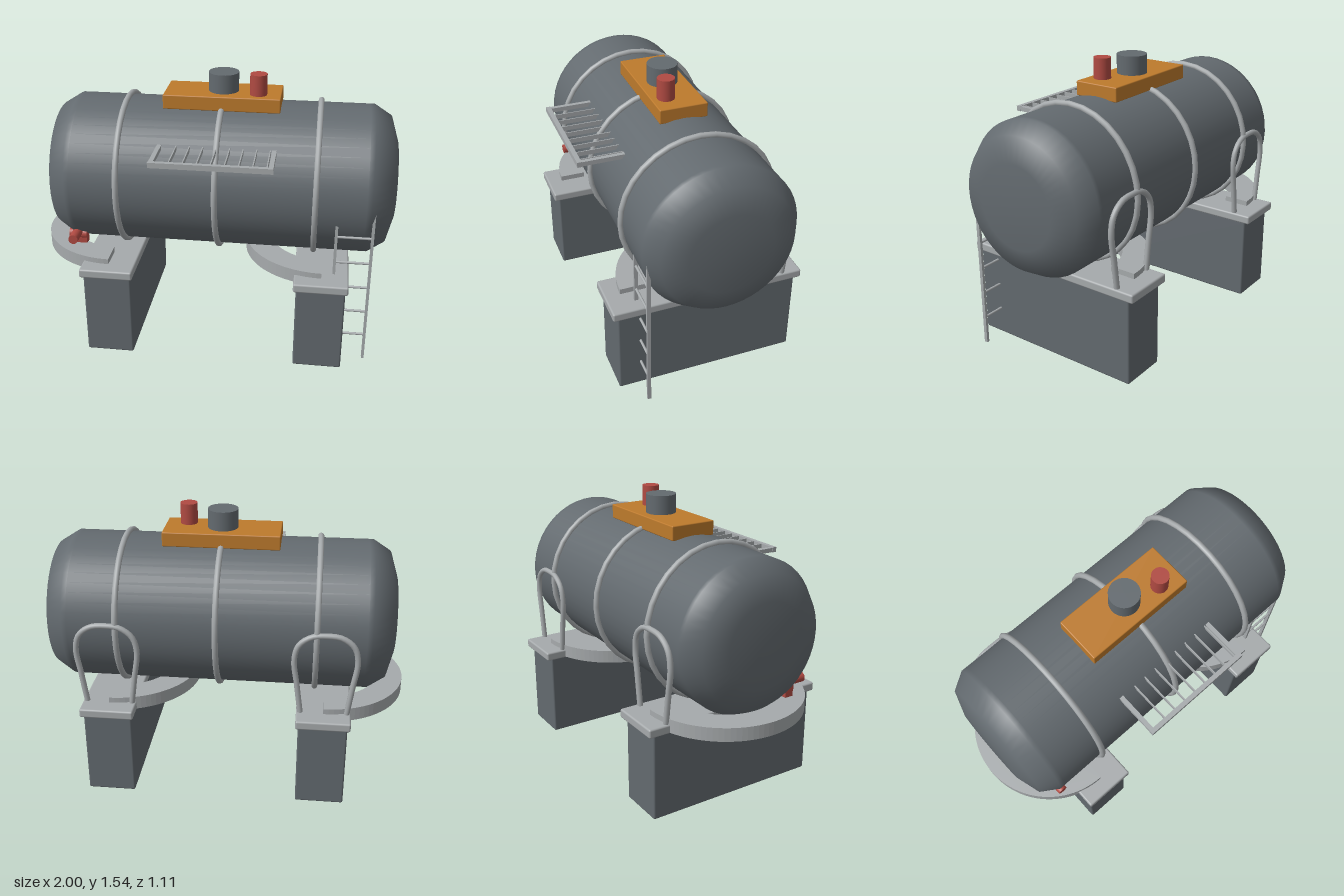
import * as THREE from 'three';
import { RoundedBoxGeometry } from 'three/addons/geometries/RoundedBoxGeometry.js';

const mat = (name, color) => {
  const m = new THREE.MeshStandardMaterial({ color });
  m.name = name;
  return m;
};

export function createModel() {
  const model = new THREE.Group();
  model.name = 'storageTank';
  const dark = mat('slateGrey', 0x636a6f);
  const light = mat('lightGrey', 0xa6aaac);
  const orange = mat('orange', 0xbd7a2c);
  const red = mat('red', 0xb04a42);
  const CX = 0.0375, CY = 0.945, CZ = -0.02;

  const add = (name, geometry, material, x = 0, y = 0, z = 0, parent = model) => {
    const mesh = new THREE.Mesh(geometry, material);
    mesh.name = name;
    mesh.position.set(x, y, z);
    parent.add(mesh);
    return mesh;
  };
  // Box given by its minimum and maximum corners, optionally with rounded edges
  const box = (name, material, x0, x1, y0, y1, z0, z1, r = 0, parent = model) => {
    const s = [x1 - x0, y1 - y0, z1 - z0];
    const g = r ? new RoundedBoxGeometry(...s, 2, r) : new THREE.BoxGeometry(...s);
    return add(name, g, material, (x0 + x1) / 2, (y0 + y1) / 2, (z0 + z1) / 2, parent);
  };
  const cylinder = (name, material, r, h, x, y, z, parent = model) =>
    add(name, new THREE.CylinderGeometry(r, r, h, 32), material, x, y, z, parent);

  // Tank shell, turned about its long axis
  const half = [[0, 0.9625], [0.225, 0.9625], [0.355, 0.922], [0.415, 0.827], [0.415, 0.8]];
  const profile = [
    ...half.map(([r, a]) => new THREE.Vector2(r, -a)),
    ...half.slice().reverse().map(([r, a]) => new THREE.Vector2(r, a)),
  ];
  const shell = add('tankShell', new THREE.LatheGeometry(profile, 48), dark, CX, CY, CZ);
  shell.rotation.z = -Math.PI / 2;

  // Bands around the shell
  for (const x of [-0.5, 0.035, 0.57]) {
    const band = add('tankBand', new THREE.TorusGeometry(0.424, 0.0165, 10, 32), light, x, CY, CZ);
    band.rotation.y = Math.PI / 2;
  }

  // Top hatch block with its two stacks
  box('hatchBlock', orange, -0.285, 0.355, 1.345, 1.425, -0.152, 0.112, 0.006);
  cylinder('ventStack', dark, 0.083, 0.11, 0.035, 1.475, -0.02);
  cylinder('reliefValve', red, 0.047, 0.12, 0.23, 1.48, 0.033);

  // Half-ring collar, open toward +x
  const collarShape = new THREE.Shape();
  collarShape.absarc(0, 0, 0.447, Math.PI / 2, Math.PI * 1.5, false);
  collarShape.absarc(0, 0, 0.3, Math.PI * 1.5, Math.PI / 2, true);
  collarShape.closePath();
  const collarGeo = new THREE.ExtrudeGeometry(collarShape, { depth: 0.075, bevelEnabled: false, curveSegments: 24 });
  collarGeo.rotateX(-Math.PI / 2);

  // Arched rail standing on the back of each pier
  const rise = [[0.125, 0.53], [0.148, 0.7], [0.167, 0.85], [0.145, 0.935], [0.08, 0.985]];
  const archPoints = [
    ...rise.map(([x, y]) => new THREE.Vector3(-x, y, 0)),
    new THREE.Vector3(0, 0.995, 0),
    ...rise.slice().reverse().map(([x, y]) => new THREE.Vector3(x, y, 0)),
  ];
  const archGeo = new THREE.TubeGeometry(new THREE.CatmullRomCurve3(archPoints), 48, 0.0155, 10);

  // Supports
  for (const x of [-0.553, 0.623]) {
    const support = new THREE.Group();
    support.name = 'support';
    support.position.x = x;
    model.add(support);
    box('pier', dark, -0.133, 0.133, 0, 0.49, -0.522, 0.49, 0.01, support);
    box('pierCap', light, -0.148, 0.147, 0.485, 0.535, -0.555, 0.518, 0.01, support);
    add('collar', collarGeo, light, 0, 0.49, -0.013, support);
    add('archRail', archGeo, light, 0, 0, -0.445, support);
  }

  // Outlet valve on the end collar
  const valve = new THREE.Group();
  valve.name = 'outletValve';
  valve.position.set(-0.77, 0, 0.235);
  model.add(valve);
  box('valveFoot', red, -0.05, 0.05, 0.56, 0.61, -0.025, 0.025, 0, valve);
  cylinder('valveBody', red, 0.03, 0.1, 0, 0.615, 0, valve).rotation.z = Math.PI / 2;
  cylinder('valvePipe', red, 0.027, 0.16, 0, 0.634, 0.045, valve).rotation.x = Math.PI / 2;

  // Slatted platform on the front
  const platform = new THREE.Group();
  platform.name = 'platform';
  model.add(platform);
  box('platformFrontBar', light, -0.285, 0.355, 1.183, 1.212, 0.53, 0.555, 0, platform);
  for (const x of [-0.272, 0.342]) {
    box('platformSideBar', light, x - 0.012, x + 0.012, 1.185, 1.21, 0.3, 0.535, 0, platform);
  }
  for (let i = 0; i < 8; i++) {
    const x = -0.18 + i * 0.0716;
    if (x < 0.33) box('platformSlat', light, x - 0.003, x + 0.003, 1.185, 1.21, 0.3, 0.535, 0, platform);
  }

  // Ladder
  const ladder = new THREE.Group();
  ladder.name = 'ladder';
  model.add(ladder);
  box('shortStringer', light, 0.682, 0.697, 0.5, 0.825, 0.358, 0.378, 0, ladder);
  box('longStringer', light, 0.874, 0.889, 0, 0.905, 0.358, 0.378, 0, ladder);
  for (let i = 0; i < 5; i++) {
    const rung = cylinder('rung', light, 0.007, 0.19, 0.785, 0.155 + i * 0.151, 0.368, ladder);
    rung.rotation.z = Math.PI / 2;
  }

  return model;
}
